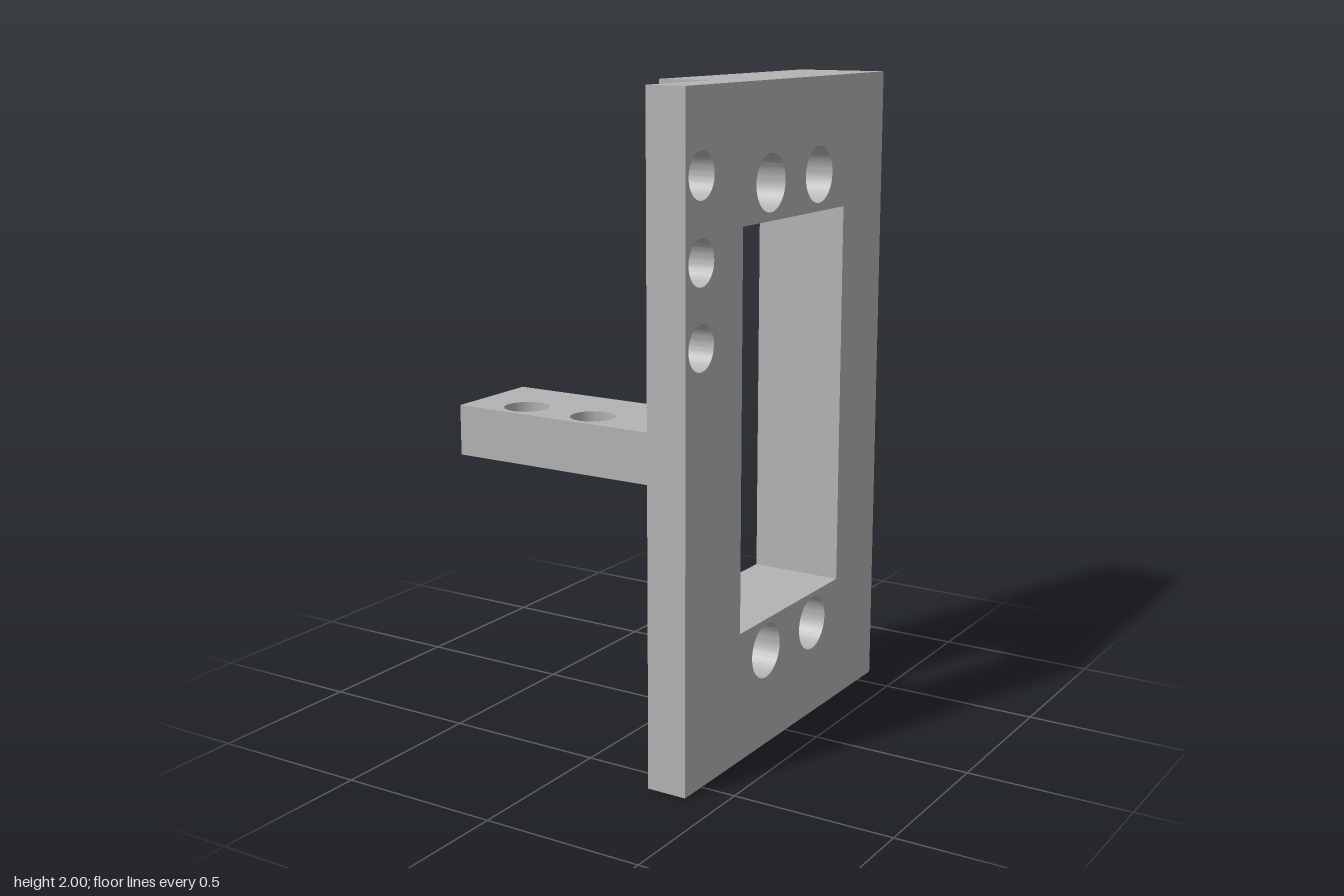
import * as THREE from 'three';
import { toCreasedNormals } from 'three/addons/utils/BufferGeometryUtils.js';

const grey = new THREE.MeshStandardMaterial({ color: 0xb3b3b3 });
grey.name = 'plain grey';

function outline(points, circles = [], windows = []) {
  const shape = new THREE.Shape(points.map(([u, v]) => new THREE.Vector2(u, v)));
  for (const [u, v, r] of circles) shape.holes.push(new THREE.Path().absarc(u, v, r, 0, Math.PI * 2, true));
  for (const w of windows) shape.holes.push(new THREE.Path(w.map(([u, v]) => new THREE.Vector2(u, v))));
  return shape;
}

const rect = (u0, v0, u1, v1) => [[u0, v0], [u1, v0], [u1, v1], [u0, v1]];

function extrude(shape, depth) {
  return new THREE.ExtrudeGeometry(shape, { depth, bevelEnabled: false, curveSegments: 32 });
}

export function createModel() {
  const group = new THREE.Group();
  const add = (name, geometry) => {
    const mesh = new THREE.Mesh(toCreasedNormals(geometry, 0.6), grey);
    mesh.name = name;
    group.add(mesh);
  };
  // Slab spanning x0..x1, outlined in (-z, y)
  const slab = (name, shape, x0, x1) =>
    add(name, extrude(shape, x1 - x0).rotateY(Math.PI / 2).translate(x0, 0, 0));

  // Bolt holes above and below the window, and the row of holes by the front edge
  const boltHoles = [];
  for (const y of [0.3, 1.71]) for (const z of [0.127, -0.167]) boltHoles.push([-z, y, 0.085]);
  const edgeHoles = [1.29, 1.525, 1.76].map((y) => [-0.508, y, 0.067]);

  // Full plate with the rectangular window
  slab('framePlate', outline(rect(-0.59, 0, 0.59, 2), [...boltHoles, ...edgeHoles],
    [rect(-0.285, 0.4, 0.33, 1.6)]), 0.265, 0.39);

  // Thick C-shaped backing, open toward the front; bolt holes stop inside it
  const cShape = [[-0.26, 0], [0.59, 0], [0.59, 2], [-0.26, 2],
    [-0.26, 1.6], [0.33, 1.6], [0.33, 0.4], [-0.26, 0.4]];
  slab('boredBacking', outline(cShape, boltHoles), 0.19, 0.265);
  slab('solidBacking', outline(cShape), 0.095, 0.19);

  // Horizontal arm with two vertical holes, outlined in (x, -z)
  const arm = outline(rect(-0.39, -0.59, 0.265, -0.285), [[-0.21, -0.505, 0.066], [0.026, -0.505, 0.066]]);
  add('mountingArm', extrude(arm, 0.15).rotateX(-Math.PI / 2).translate(0, 0.905, 0));

  return group;
}
